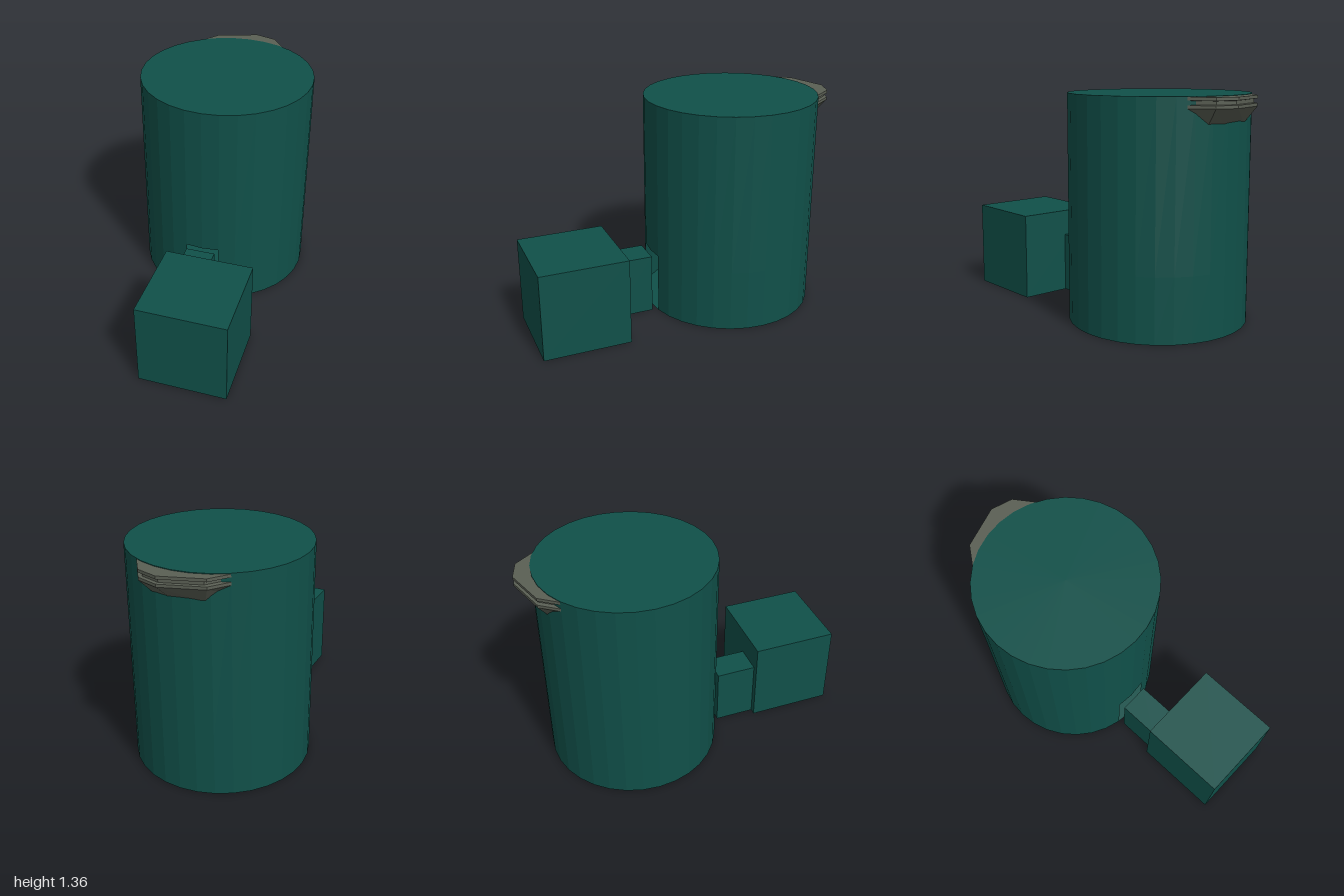
import * as THREE from 'three';

const green = new THREE.MeshStandardMaterial({ color: 0x105049, flatShading: true, side: THREE.DoubleSide });
const stone = new THREE.MeshStandardMaterial({ color: 0x5a5f54, flatShading: true, side: THREE.DoubleSide });

const R = 0.54, H = 1.36, CZ = -0.36, SIDES = 32, DOOR_H = 0.385;
const STEP = (Math.PI * 2) / SIDES;

function add(parent, name, geometry, material, x = 0, y = 0, z = 0) {
  const mesh = new THREE.Mesh(geometry, material);
  mesh.name = name;
  mesh.position.set(x, y, z);
  parent.add(mesh);
  return mesh;
}

// Box given by its minimum and maximum corners
function addBlock(parent, name, [x0, y0, z0], [x1, y1, z1]) {
  add(parent, name, new THREE.BoxGeometry(x1 - x0, y1 - y0, z1 - z0), green,
    (x0 + x1) / 2, (y0 + y1) / 2, (z0 + z1) / 2);
}

// Surface through open cross-sections, each a list of [x, y, z]
function loft(sections) {
  const n = sections[0].length, index = [];
  for (let i = 0; i < sections.length - 1; i++) {
    for (let j = 0; j < n - 1; j++) {
      const a = i * n + j, b = a + n;
      index.push(a, b, a + 1, a + 1, b, b + 1);
    }
  }
  const geometry = new THREE.BufferGeometry();
  geometry.setAttribute('position', new THREE.Float32BufferAttribute(sections.flat(2), 3));
  geometry.setIndex(index);
  geometry.computeVertexNormals();
  return geometry;
}

export function createModel() {
  const model = new THREE.Group();
  model.name = 'roundTowerHouse';

  // Tower, with a doorway two facets wide facing the passage
  const tower = new THREE.Group();
  tower.name = 'tower';
  tower.position.z = CZ;
  model.add(tower);
  add(tower, 'upperWall', new THREE.CylinderGeometry(R, R, H - DOOR_H, SIDES, 1, true),
    green, 0, (H + DOOR_H) / 2);
  add(tower, 'lowerWall', new THREE.CylinderGeometry(R, R, DOOR_H, SIDES - 2, 1, true, STEP, STEP * (SIDES - 2)),
    green, 0, DOOR_H / 2);
  add(tower, 'roof', new THREE.CircleGeometry(R, SIDES), green, 0, H).rotation.x = -Math.PI / 2;
  add(tower, 'floor', new THREE.CircleGeometry(R, SIDES), green).rotation.x = Math.PI / 2;

  // Passage and square room in front
  addBlock(model, 'passage', [-0.095, 0, 0.205], [0.09, 0.38, 0.46]);
  addBlock(model, 'room', [-0.135, 0, 0.46], [0.405, 0.545, 1]);

  // Balcony: stacked ledges with a groove, tapering down to the tower wall
  const outline = [[-0.3, -0.81], [-0.22, -0.92], [0.03, -1], [0.16, -0.96], [0.26, -0.82]];
  const ring = (y, s) => outline.map(([x, z]) => [x * s, y, -0.82 + (z + 0.82) * s]);
  const wallRing = outline.map(([x], i) => {
    const wx = x * 0.8;
    return [wx, i === 0 || i === 4 ? 1.26 : 1.2, CZ - Math.sqrt(R * R - wx * wx) + 0.01];
  });
  const top = H - 0.004;
  add(model, 'balcony', loft([
    outline.map(() => [0, top, -0.78]),
    ring(top, 1), ring(1.338, 1), ring(1.335, 0.9), ring(1.315, 0.9),
    ring(1.312, 1), ring(1.295, 1), wallRing,
  ]), stone);

  return model;
}
